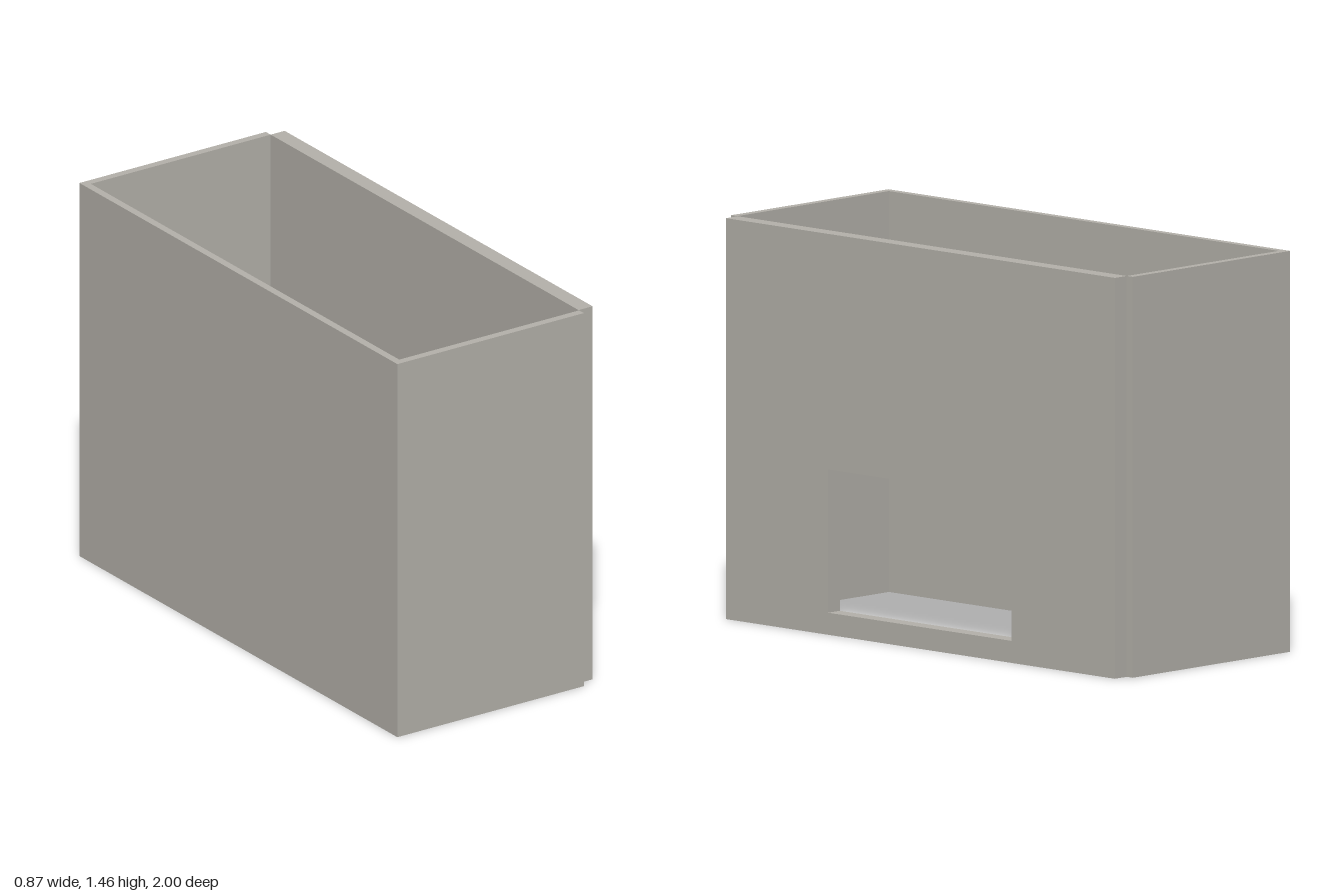
import * as THREE from 'three';

const HEIGHT = 1.455;

// Closed outline from corner points
function outline(points, Type = THREE.Shape) {
  return new Type(points.map(([x, y]) => new THREE.Vector2(x, y)));
}

function rectangle(x0, x1, y0, y1) {
  return [[x0, y0], [x1, y0], [x1, y1], [x0, y1]];
}

export function createModel() {
  const model = new THREE.Group();
  model.name = 'openBox';
  const warmGrey = new THREE.MeshStandardMaterial({ color: 0xb5b2ab });
  warmGrey.name = 'warmGrey';

  // Thin three-sided wall, open at the top, bottom and +x side
  const wallPlan = outline([
    [-0.437, -1], [0.376, -1], [0.376, -0.97], [-0.408, -0.97],
    [-0.408, 0.97], [0.376, 0.97], [0.376, 1], [-0.437, 1],
  ]);
  const wallGeometry = new THREE.ExtrudeGeometry(wallPlan, { depth: HEIGHT, bevelEnabled: false });
  wallGeometry.rotateX(-Math.PI / 2);
  const walls = new THREE.Mesh(wallGeometry, warmGrey);
  walls.name = 'threeSidedWall';
  model.add(walls);

  // Thicker side panel with a rectangular opening
  const panelShape = outline(rectangle(-0.967, 0.97, 0, HEIGHT));
  panelShape.holes.push(outline(rectangle(-0.458, 0.456, 0.08, 0.6), THREE.Path));
  const panelGeometry = new THREE.ExtrudeGeometry(panelShape, { depth: 0.061, bevelEnabled: false });
  panelGeometry.rotateY(Math.PI / 2).translate(0.376, 0, 0);
  const panel = new THREE.Mesh(panelGeometry, warmGrey);
  panel.name = 'sidePanelWithOpening';
  model.add(panel);

  return model;
}
